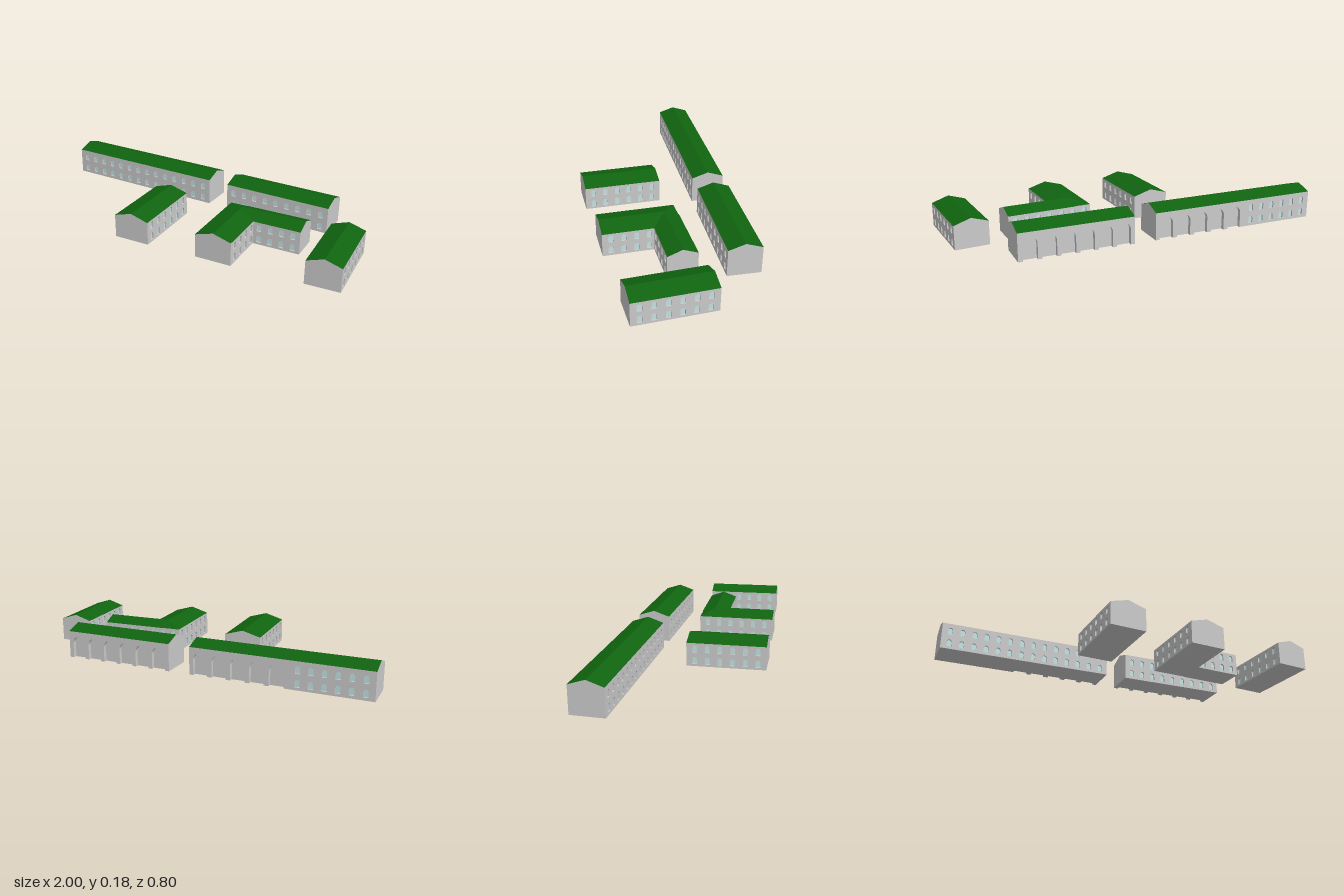
import * as THREE from 'three';

const wallMat = new THREE.MeshStandardMaterial({ color: 0xcccccc, side: THREE.DoubleSide });
const roofMat = new THREE.MeshStandardMaterial({ color: 0x106410, side: THREE.DoubleSide });
const glassMat = new THREE.MeshStandardMaterial({ color: 0xc4e4e4 });

const WIN_W = 0.026, WIN_H = 0.04, REVEAL = 0.01;

function add(parent, geometry, material, name) {
  const mesh = new THREE.Mesh(geometry, material);
  mesh.name = name;
  parent.add(mesh);
  return mesh;
}

// Round-topped opening, standing on y with its centre at u
function archPath(PathClass, u, y, w, h) {
  const p = new PathClass();
  p.moveTo(u - w / 2, y);
  p.lineTo(u + w / 2, y);
  p.lineTo(u + w / 2, y + h - w / 2);
  p.absarc(u, y + h - w / 2, w / 2, 0, Math.PI, false);
  p.lineTo(u - w / 2, y);
  return p;
}

// Evenly spaced positions centred on 0
const spread = (n, step) => Array.from({ length: n }, (_, i) => (i - (n - 1) / 2) * step);

// Wall slab facing local +z: two rows of recessed windows, and arcade niches open to the ground
function facade(len, h, sills, windows, arches, depth) {
  const g = new THREE.Group();
  g.name = 'facade';
  const wall = new THREE.Shape();
  wall.moveTo(-len / 2, 0);
  const aw = 0.078, ah = 0.122;
  for (const u of arches) {
    wall.lineTo(u - aw / 2, 0);
    wall.lineTo(u - aw / 2, ah - aw / 2);
    wall.absarc(u, ah - aw / 2, aw / 2, Math.PI, 0, true);
    wall.lineTo(u + aw / 2, 0);
  }
  wall.lineTo(len / 2, 0);
  wall.lineTo(len / 2, h);
  wall.lineTo(-len / 2, h);
  wall.closePath();
  for (const u of windows) for (const y of sills) {
    wall.holes.push(archPath(THREE.Path, u, y, WIN_W, WIN_H));
    const pane = new THREE.ShapeGeometry(archPath(THREE.Shape, u, y, WIN_W, WIN_H), 8);
    add(g, pane.translate(0, 0, -REVEAL + 0.001), glassMat, 'windowPane');
  }
  const slab = new THREE.ExtrudeGeometry(wall, { depth, bevelEnabled: false, curveSegments: 10 });
  add(g, slab.translate(0, 0, -depth), wallMat, 'wall');
  return g;
}

// Polygons, given as loops of corners, fanned into one flat-faced geometry
function polygons(loops) {
  const pos = [];
  for (const l of loops)
    for (let i = 1; i < l.length - 1; i++) pos.push(...l[0], ...l[i], ...l[i + 1]);
  const geo = new THREE.BufferGeometry();
  geo.setAttribute('position', new THREE.Float32BufferAttribute(pos, 3));
  geo.computeVertexNormals();
  return geo;
}

// Gabled house with its ridge along local z; sides[0] faces +x, sides[1] faces -x
function house(name, o) {
  const { w, len, h, ridge, sides, sills, hip = 0, roofStart = 0 } = o;
  const g = new THREE.Group();
  g.name = name;
  g.position.set(o.x, 0, o.z);
  g.rotation.y = o.angle;

  // Solid core behind the facades
  const d = sides.map((s) => (s.arches ? 0.022 : 0.012));
  const back = hip ? 0.012 : 0;
  const core = new THREE.BoxGeometry(w - d[0] - d[1], h, len - back);
  add(g, core.translate((d[1] - d[0]) / 2, h / 2, back / 2), wallMat, 'core');

  sides.forEach((s, i) => {
    const sign = i === 0 ? 1 : -1;
    const f = facade(len, h, sills, s.windows, s.arches || [], d[i]);
    f.position.x = sign * w / 2;
    f.rotation.y = sign * Math.PI / 2;
    g.add(f);
  });

  // Roof slopes, with either gables or one hipped end
  const a = -len / 2 - roofStart, b = len / 2, x = w / 2;
  const top0 = [0, ridge, a + hip], top1 = [0, ridge, b];
  const slopes = [
    [[x, h, b], [x, h, a], top0, top1],
    [[-x, h, a], [-x, h, b], top1, top0],
  ];
  const gables = [[[-x, h, b], [x, h, b], top1]];
  (hip ? slopes : gables).push([[x, h, a], [-x, h, a], top0]);
  add(g, polygons(slopes), roofMat, 'roof');
  if (roofStart) gables.pop();
  add(g, polygons(gables), wallMat, 'gable');

  // Windowed wall under the hipped end
  if (hip) {
    const f = facade(w - 0.024, h, sills, spread(3, 0.066), [], back);
    f.position.z = -len / 2;
    f.rotation.y = Math.PI;
    g.add(f);
  }
  return g;
}

export function createModel() {
  const model = new THREE.Group();
  model.name = 'buildingComplex';

  // Long rear ranges, arcaded along the back
  const rear = { w: 0.18, h: 0.15, ridge: 0.18, sills: [0.015, 0.085], z: -0.315, angle: Math.PI / 2 };
  const longWindows = spread(14, 0.0675);
  model.add(house('longRange', {
    ...rear, x: -0.515, len: 0.97,
    sides: [
      { windows: longWindows.slice(8), arches: spread(5, 0.104).map((u) => u - 0.215) },
      { windows: longWindows },
    ],
  }));
  model.add(house('shortRange', {
    ...rear, x: 0.403, len: 0.625,
    sides: [
      { windows: [], arches: spread(6, 0.1) },
      { windows: spread(9, 0.0675) },
    ],
  }));

  // Smaller houses in front, each slightly turned
  const small = { h: 0.13, ridge: 0.16, len: 0.43, sills: [0.012, 0.078] };
  const six = { windows: spread(6, 0.068) };
  model.add(house('middleHouse', { ...small, x: -0.167, z: 0.18, w: 0.205, angle: 0.047, sides: [six, six] }));
  model.add(house('sideHouse', { ...small, x: 0.89, z: 0.098, w: 0.185, angle: 0.079, sides: [six, six] }));

  // L-shaped house: main block with a hipped corner, and a wing whose roof meets its ridge
  model.add(house('cornerHouse', {
    ...small, x: 0.3175, z: 0.147, w: 0.205, angle: 0.047, hip: 0.08,
    sides: [{ windows: six.windows.slice(0, 4) }, six],
  }));
  const four = { windows: spread(4, 0.064) };
  model.add(house('cornerHouseWing', {
    ...small, x: 0.543, z: -0.003, w: 0.16, len: 0.27, angle: Math.PI / 2 + 0.05,
    roofStart: 0.098, sides: [four, four],
  }));
  return model;
}
